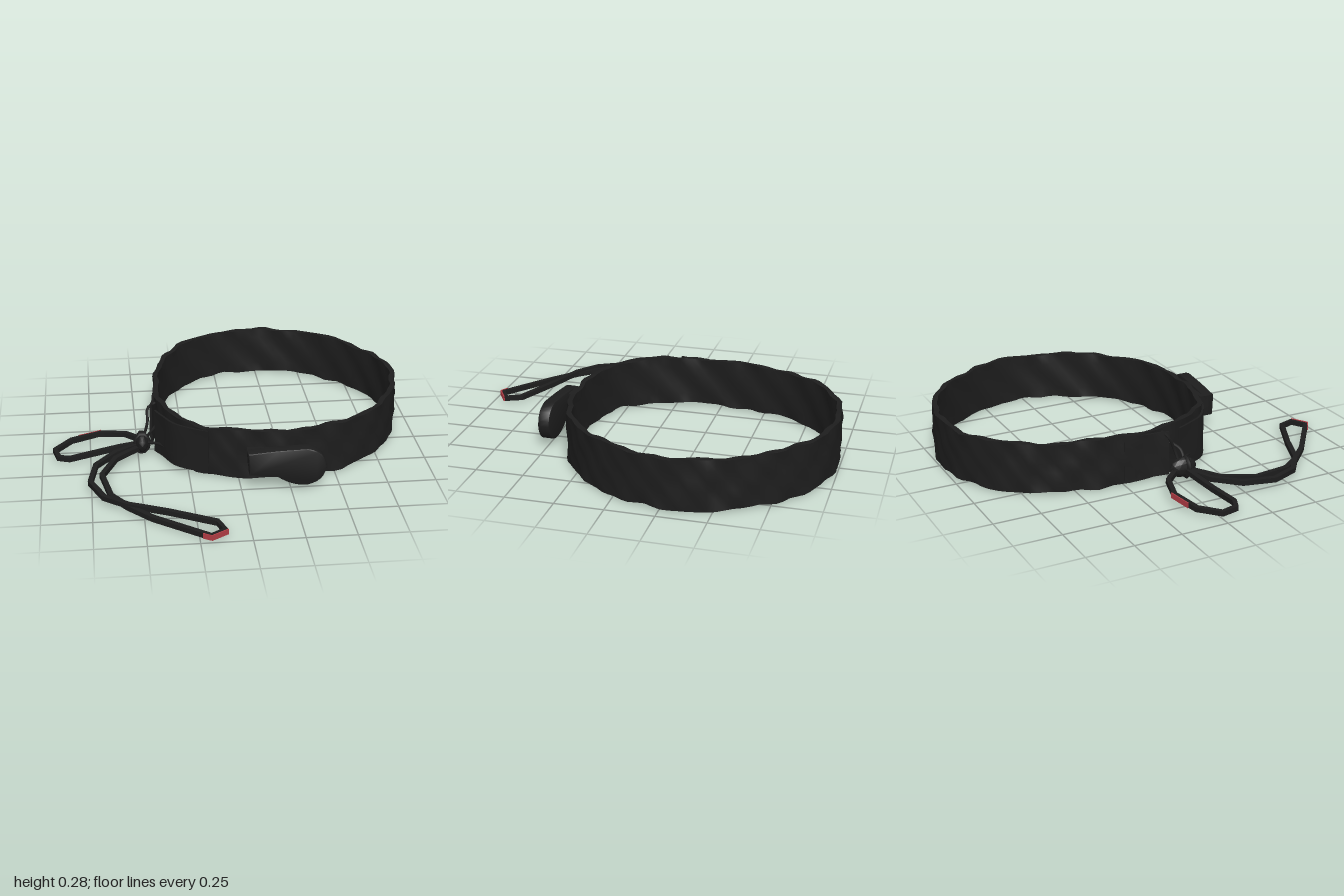
import * as THREE from 'three';
import { toCreasedNormals } from 'three/addons/utils/BufferGeometryUtils.js';

const fabric = new THREE.MeshStandardMaterial({ color: 0x1d1d1d });
fabric.name = 'black fabric';
const red = new THREE.MeshStandardMaterial({ color: 0xb03c44 });
red.name = 'red trim';

const V = (x, y, z) => new THREE.Vector3(x, y, z);

// Sweep an upright rectangle along points; warp(u, v, side) returns [outward shift, lift]
function strip(points, closed, width, height, rows = 2, warp = () => [0, 0], crease = 0.7) {
  const pos = [], idx = [], n = points.length, m = rows * 2;
  points.forEach((p, i) => {
    const a = points[closed ? (i + n - 1) % n : Math.max(i - 1, 0)];
    const b = points[closed ? (i + 1) % n : Math.min(i + 1, n - 1)];
    const side = V(a.z - b.z, 0, b.x - a.x).normalize();
    for (let k = 0; k < m; k++) {
      const s = k < rows ? 1 : -1;
      const v = (k < rows ? k : m - 1 - k) / (rows - 1) - 0.5;
      const [push, lift] = warp(i / n, v, s);
      const d = s * width / 2 + push;
      pos.push(p.x + side.x * d, p.y + v * height + lift, p.z + side.z * d);
    }
  });
  const last = closed ? n : n - 1;
  for (let i = 0; i < last; i++) for (let k = 0; k < m; k++) {
    const a = i * m + k, b = i * m + (k + 1) % m;
    const c = ((i + 1) % n) * m + k, d = ((i + 1) % n) * m + (k + 1) % m;
    idx.push(a, c, b, b, c, d);
  }
  // End caps
  if (!closed) for (let k = 1; k < m - 1; k++) {
    const e = (n - 1) * m;
    idx.push(0, k, k + 1, e, e + k + 1, e + k);
  }
  const g = new THREE.BufferGeometry();
  g.setAttribute('position', new THREE.Float32BufferAttribute(pos, 3));
  g.setIndex(idx);
  return toCreasedNormals(g, crease);
}

function add(group, name, geometry, material = fabric) {
  const mesh = new THREE.Mesh(geometry, material);
  mesh.name = name;
  group.add(mesh);
  return mesh;
}

// Soft cloth wrinkles, fading sideways and rippling the edges
function wrinkle(u, v, s) {
  const a = u * Math.PI * 2;
  const push = 0.005 * Math.sin(17 * a + 7 * v) + 0.004 * Math.sin(29 * a - 11 * v + 1);
  const lift = 0.004 * Math.sin(9 * a + v * 3) + 0.003 * Math.sin(23 * a + s);
  return [push, lift];
}

export function createModel() {
  const model = new THREE.Group();
  model.name = 'ribbonCollar';

  // Main band
  const ring = [[0.23, -0.98], [0.44, -0.945], [0.62, -0.85], [0.77, -0.69], [0.88, -0.5],
    [0.922, -0.33], [0.905, -0.17], [0.835, 0.02], [0.72, 0.18], [0.56, 0.305], [0.4, 0.365],
    [0.22, 0.388], [0, 0.363], [-0.17, 0.305], [-0.28, 0.19], [-0.355, 0.04], [-0.385, -0.1],
    [-0.385, -0.25], [-0.36, -0.45], [-0.3, -0.65], [-0.18, -0.82], [0, -0.94]];
  const ringCurve = new THREE.CatmullRomCurve3(ring.map(([x, z]) => V(x, 0.153, z)), true);
  add(model, 'band', strip(ringCurve.getSpacedPoints(100).slice(0, 100), true, 0.027, 0.262, 6, wrinkle, 1));

  // Loose band ends beside the knot
  const flaps = [
    [[-0.15, 0.335], [-0.24, 0.29], [-0.32, 0.23], [-0.37, 0.13], [-0.405, 0.06]],
    [[-0.395, -0.25], [-0.4, -0.15], [-0.41, -0.08], [-0.425, -0.01]],
  ];
  for (const f of flaps) {
    const pts = new THREE.CatmullRomCurve3(f.map(([x, z]) => V(x, 0.155, z))).getPoints(12);
    add(model, 'bandEnd', strip(pts, false, 0.012, 0.235, 4, (u, v) => [0.003 * Math.sin(u * 9 + v * 8), 0]));
  }

  // Laces from the band to the knot
  const laces = [
    [V(-0.4, 0.27, -0.04), V(-0.44, 0.25, -0.02), V(-0.445, 0.18, 0.01), V(-0.47, 0.1, 0.03)],
    [V(-0.375, 0.2, 0.01), V(-0.42, 0.16, 0.06), V(-0.47, 0.1, 0.06)],
    [V(-0.32, 0.1, 0.23), V(-0.39, 0.1, 0.11), V(-0.47, 0.09, 0.06)],
  ];
  for (const l of laces)
    add(model, 'lace', new THREE.TubeGeometry(new THREE.CatmullRomCurve3(l), 10, 0.008, 5));

  // Knot
  const knot = add(model, 'knot', new THREE.IcosahedronGeometry(1, 1));
  knot.geometry = toCreasedNormals(knot.geometry, 0.5);
  knot.scale.set(0.036, 0.055, 0.075);
  knot.position.set(-0.478, 0.088, 0.045);
  const wrap = add(model, 'knotWrap', new THREE.TorusGeometry(0.034, 0.014, 6, 10));
  wrap.scale.y = 1.35;
  wrap.position.set(-0.478, 0.085, 0.06);

  // Bow loop
  const loop = [V(-0.48, 0.075, 0.0), V(-0.56, 0.07, -0.085), V(-0.7, 0.06, -0.125), V(-0.85, 0.045, -0.085),
    V(-0.935, 0.038, 0.01), V(-0.915, 0.038, 0.095), V(-0.86, 0.04, 0.118), V(-0.71, 0.055, 0.085),
    V(-0.6, 0.068, 0.065), V(-0.48, 0.078, 0.05)];
  add(model, 'bowLoop', strip(loop, false, 0.026, 0.026));

  // Long doubled tail, the two strands crossing halfway
  const tail = [V(-0.48, 0.075, 0.05), V(-0.62, 0.065, 0.125), V(-0.725, 0.06, 0.25), V(-0.755, 0.055, 0.42),
    V(-0.69, 0.05, 0.57), V(-0.575, 0.05, 0.66), V(-0.38, 0.045, 0.74), V(-0.155, 0.038, 0.85),
    V(-0.125, 0.035, 0.93), V(-0.2, 0.035, 0.975), V(-0.46, 0.035, 0.775), V(-0.575, 0.04, 0.66),
    V(-0.655, 0.045, 0.55), V(-0.695, 0.055, 0.35), V(-0.62, 0.06, 0.18), V(-0.48, 0.07, 0.07)];
  add(model, 'bowTail', strip(tail, false, 0.026, 0.026));

  // Red trim on the outer faces of the loop and tail tip
  add(model, 'loopTrim', strip([V(-0.69, 0.061, -0.139), V(-0.735, 0.056, -0.128), V(-0.81, 0.05, -0.111)],
    false, 0.006, 0.028), red);
  add(model, 'tailTrim', strip([V(-0.112, 0.036, 0.938), V(-0.195, 0.036, 0.991), V(-0.235, 0.036, 0.966)],
    false, 0.006, 0.028), red);

  // Front ornament: rounded paddle with a narrower tab behind it
  const paddle = new THREE.Shape();
  paddle.moveTo(0.04, 0.1);
  paddle.lineTo(0.17, 0.095);
  paddle.quadraticCurveTo(0.25, 0.035, 0.33, 0.04);
  paddle.quadraticCurveTo(0.42, 0.06, 0.425, 0.14);
  paddle.quadraticCurveTo(0.42, 0.23, 0.33, 0.243);
  paddle.lineTo(0.18, 0.235);
  paddle.lineTo(0.03, 0.22);
  const body = new THREE.ExtrudeGeometry(paddle, {
    depth: 0.045, curveSegments: 6, bevelThickness: 0.008, bevelSize: 0.006, bevelOffset: -0.006, bevelSegments: 2 });
  // Lean the plate back a little toward its tab end
  const p = body.attributes.position;
  for (let i = 0; i < p.count; i++) p.setZ(i, p.getZ(i) + 0.474 + 0.05 * (p.getX(i) - 0.23));
  add(model, 'ornament', toCreasedNormals(body, 0.6));
  const tab = add(model, 'ornamentTab', new THREE.BoxGeometry(0.115, 0.07, 0.05));
  tab.position.set(0.09, 0.185, 0.462);
  tab.rotation.y = -0.08;

  return model;
}
